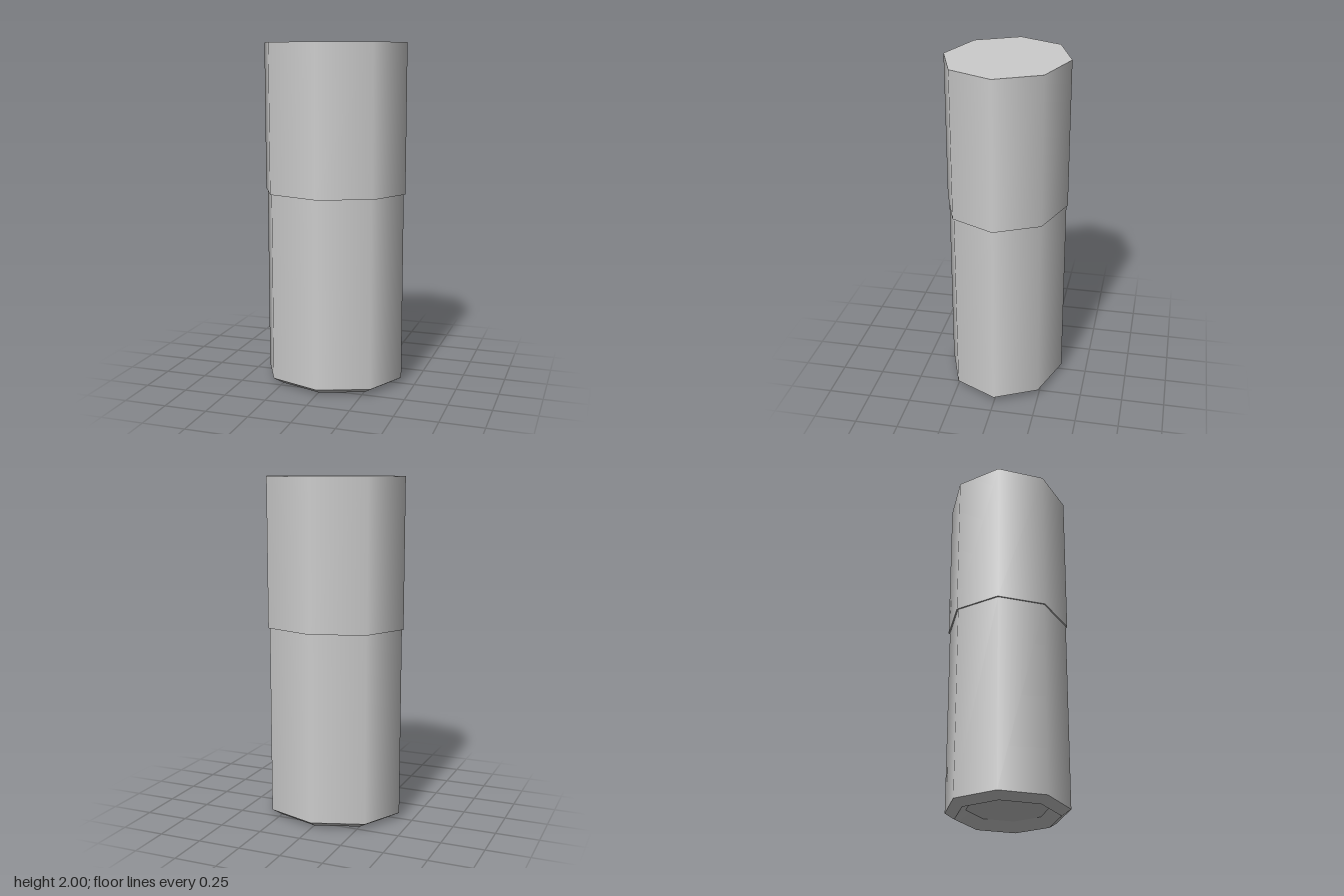
import * as THREE from 'three';

const SIDES = 8;
const DEPTH_RATIO = 0.83; // the octagon is narrower from front to back

export function createModel() {
  const model = new THREE.Group();
  model.name = 'cappedContainer';

  const grey = new THREE.MeshStandardMaterial({ color: 0xcccccc, side: THREE.DoubleSide });
  grey.name = 'lightGrey';

  // Octagonal section between two heights
  function section(name, rTop, rBottom, y0, y1, open) {
    const geo = new THREE.CylinderGeometry(rTop, rBottom, y1 - y0, SIDES, 1, open);
    geo.scale(1, 1, DEPTH_RATIO);
    geo.translate(0, (y0 + y1) / 2, 0);
    const mesh = new THREE.Mesh(geo, grey);
    mesh.name = name;
    model.add(mesh);
  }

  // Lid, slightly wider than the body
  section('lid', 0.43, 0.43, 1.14, 2, false);

  // Body with a chamfered foot
  section('body', 0.42, 0.42, 0.035, 1.14, true);
  section('footChamfer', 0.42, 0.355, 0, 0.035, true);

  // Hollow underside: sloping wall up to a small flat floor
  section('recessWall', 0.28, 0.355, 0, 0.05, true);
  const floor = new THREE.CircleGeometry(0.28, SIDES);
  floor.rotateX(Math.PI / 2);
  floor.scale(1, 1, DEPTH_RATIO);
  floor.translate(0, 0.05, 0);
  const floorMesh = new THREE.Mesh(floor, grey);
  floorMesh.name = 'recessFloor';
  model.add(floorMesh);

  return model;
}
